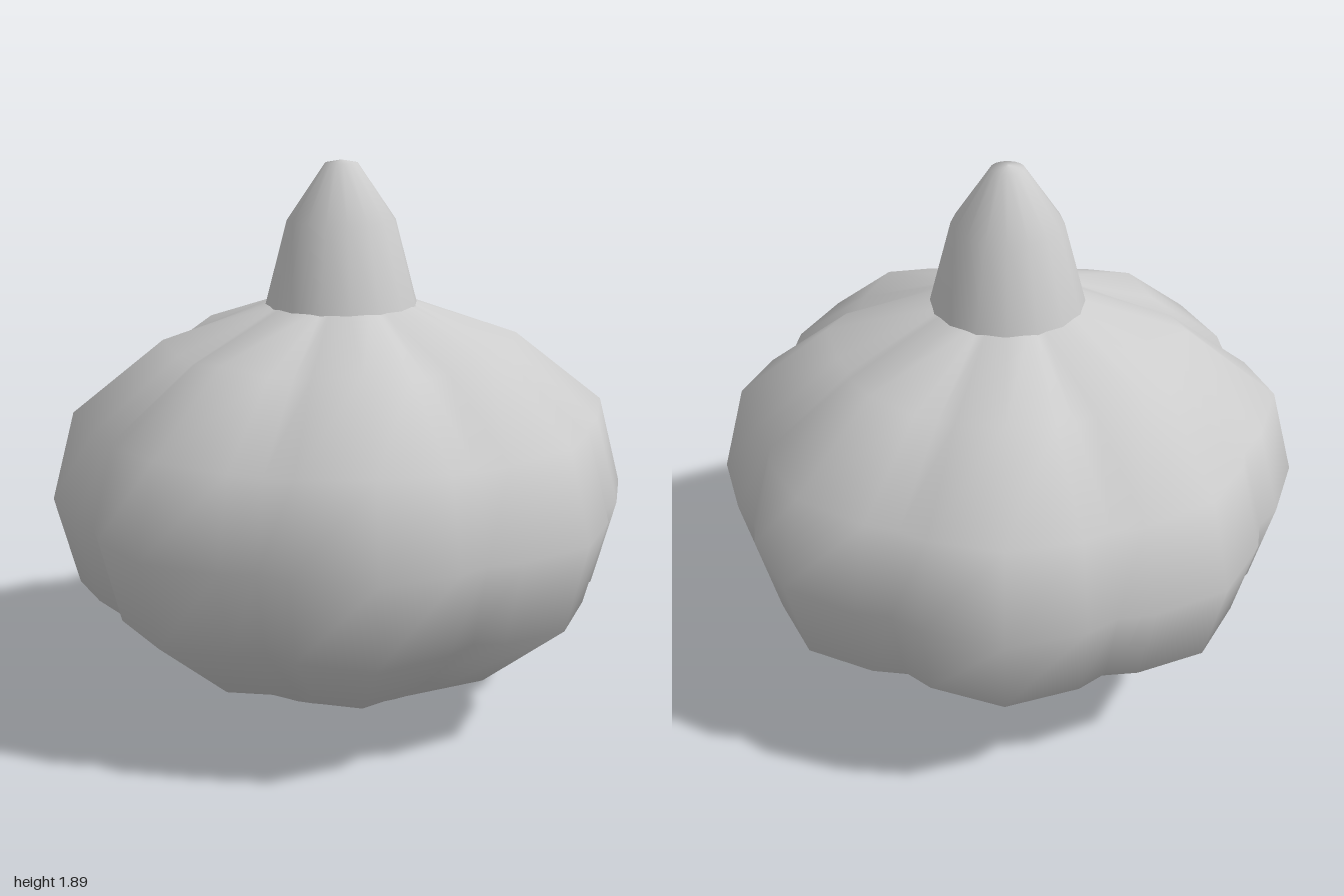
import * as THREE from 'three';

const LOBES = 8;
const CENTRE_Y = 0.74;

// One lobe: angle offset in degrees and scale towards the body's centre
const LOBE_STEPS = [[0, 1], [15.7, 0.956], [22.5, 0.922], [29.3, 0.956]];

// Ridge profile from bottom to top: radius, height
const RIDGE = [[0.38, 0.09], [0.61, 0.18], [0.92, 0.435], [1, 0.74], [0.92, 1.045], [0.61, 1.29], [0.25, 1.41]];

// Ribbed gourd body; the end rings stay circular to meet the base and stem
function bodyGeometry() {
  const positions = [], index = [];
  const n = LOBES * LOBE_STEPS.length;
  RIDGE.forEach(([r, y], row) => {
    const isEnd = row === 0 || row === RIDGE.length - 1;
    for (let j = 0; j < n; j++) {
      const [offset, scale] = LOBE_STEPS[j % LOBE_STEPS.length];
      const s = isEnd ? 1 : scale;
      const a = THREE.MathUtils.degToRad(Math.floor(j / LOBE_STEPS.length) * 360 / LOBES + offset);
      positions.push(Math.sin(a) * r * s, CENTRE_Y + (y - CENTRE_Y) * s, Math.cos(a) * r * s);
      if (row < RIDGE.length - 1) {
        const p = row * n + j, q = row * n + (j + 1) % n;
        index.push(p, q, q + n, p, q + n, p + n);
      }
    }
  });
  const geometry = new THREE.BufferGeometry();
  geometry.setAttribute('position', new THREE.Float32BufferAttribute(positions, 3));
  geometry.setIndex(index);
  geometry.computeVertexNormals();
  return geometry;
}

function lathe(points, sides) {
  return new THREE.LatheGeometry(points.map(([x, y]) => new THREE.Vector2(x, y)), sides);
}

export function createModel() {
  const group = new THREE.Group();
  group.name = 'pumpkin';
  const grey = new THREE.MeshStandardMaterial({ color: 0xcccccc });
  grey.name = 'light grey';

  const add = (name, geometry) => {
    const mesh = new THREE.Mesh(geometry, grey);
    mesh.name = name;
    group.add(mesh);
  };

  add('body', bodyGeometry());
  // Shallow cone closing the underside
  add('base', lathe([[0, 0], [0.38, 0.09]], 32));
  // Tapered stem with a small rounded tip
  add('stem', lathe([[0.26, 1.405], [0.185, 1.69], [0.055, 1.88], [0, 1.89]], 16));
  return group;
}
